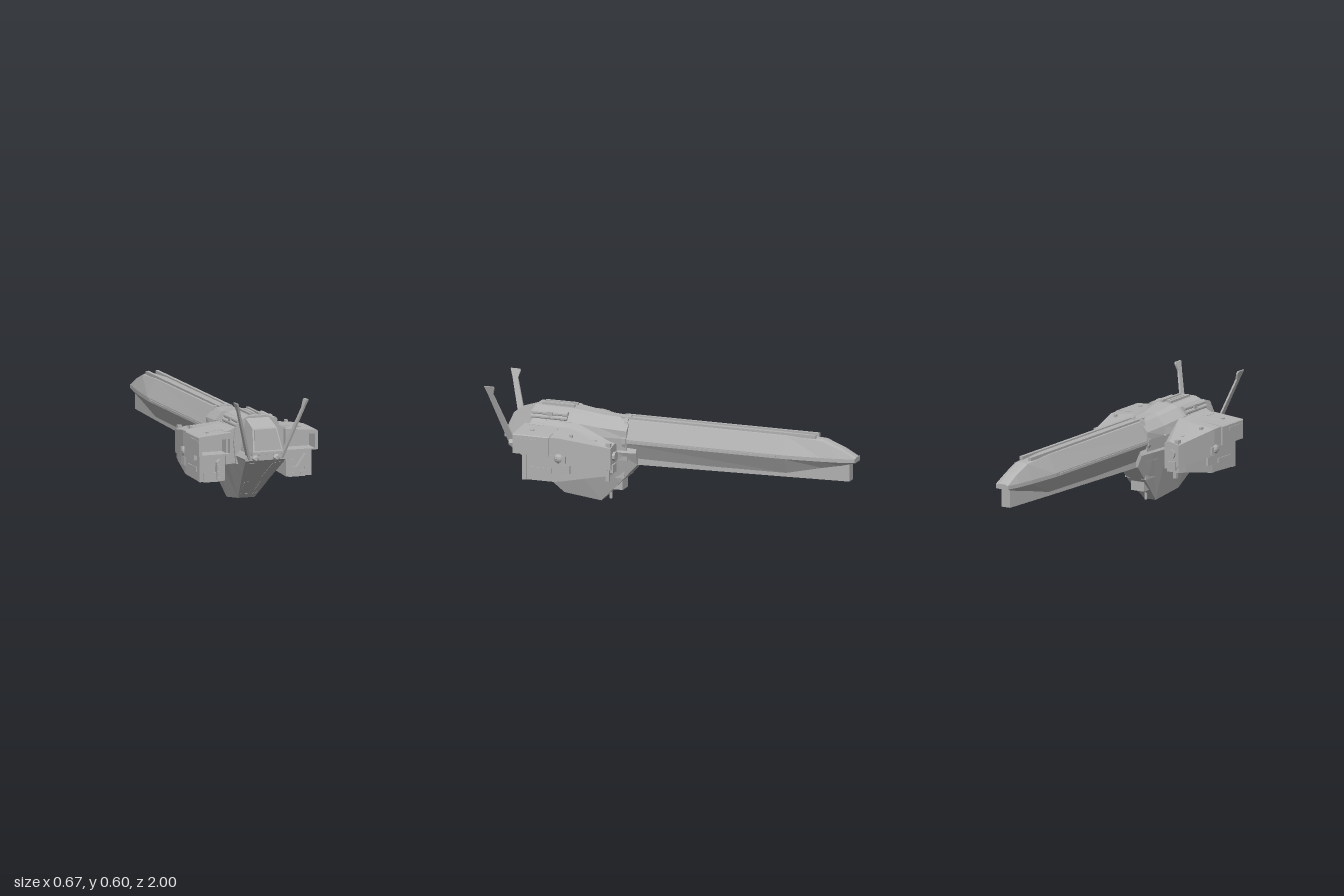
import * as THREE from 'three';

const hull = new THREE.MeshStandardMaterial({ color: 0xb2b2b2 });
hull.name = 'hullGrey';
const glass = new THREE.MeshStandardMaterial({ color: 0xa2a2a2 });
glass.name = 'canopyGrey';

// Loft of closed rings [z, points], z rising, points counter-clockwise from +z
function loft(sections) {
  const p = [];
  const tri = (a, b, c) => p.push(...a, ...b, ...c);
  const rings = sections.map(([z, pts]) => pts.map(([x, y]) => [x, y, z]));
  const n = rings[0].length;
  for (let i = 0; i < rings.length - 1; i++) {
    for (let j = 0; j < n; j++) {
      const k = (j + 1) % n, a = rings[i][j], b = rings[i][k], c = rings[i + 1][k], d = rings[i + 1][j];
      tri(a, b, c);
      tri(a, c, d);
    }
  }
  const cap = (r, front) => {
    const m = [0, 1, 2].map(t => r.reduce((s, q) => s + q[t], 0) / n);
    r.forEach((q, j) => (front ? tri(m, q, r[(j + 1) % n]) : tri(m, r[(j + 1) % n], q)));
  };
  cap(rings[0], false);
  cap(rings[rings.length - 1], true);
  const g = new THREE.BufferGeometry();
  g.setAttribute('position', new THREE.Float32BufferAttribute(p, 3));
  return g;
}

// Full ring from the +x half, listed bottom to top
const sym = half => [...half, ...half.slice().reverse().map(([x, y]) => [-x, y])];
const rect = (x0, x1, y0, y1) => [[x0, y0], [x1, y0], [x1, y1], [x0, y1]];
const box = (x0, x1, y0, y1, z0, z1) =>
  new THREE.BoxGeometry(x1 - x0, y1 - y0, z1 - z0).translate((x0 + x1) / 2, (y0 + y1) / 2, (z0 + z1) / 2);

// Plate with optional hole, facing +z from z0 to z1
function plate(outline, hole, z0, z1) {
  const v = a => a.map(([x, y]) => new THREE.Vector2(x, y));
  const s = new THREE.Shape(v(outline));
  if (hole) s.holes.push(new THREE.Path(v(hole)));
  return new THREE.ExtrudeGeometry(s, { depth: z1 - z0, bevelEnabled: false }).translate(0, 0, z0);
}

function mirrorX(g) {
  const m = g.clone(), a = m.attributes.position;
  for (let i = 0; i < a.count; i += 3) {
    const t = [0, 1, 2].map(k => [-a.getX(i + k), a.getY(i + k), a.getZ(i + k)]);
    [t[0], t[2], t[1]].forEach((q, k) => a.setXYZ(i + k, ...q));
  }
  m.computeVertexNormals();
  return m;
}

export function createModel() {
  const model = new THREE.Group();
  model.name = 'spacecraft';
  const add = (name, geo, mat = hull) => {
    const g = geo.index ? geo.toNonIndexed() : geo;
    g.computeVertexNormals();
    const mesh = new THREE.Mesh(g, mat);
    mesh.name = name;
    model.add(mesh);
    return g;
  };
  const pair = (name, geo, mat = hull) => {
    const g = add(name + 'Left', geo, mat);
    add(name + 'Right', mirrorX(g), mat);
  };

  // Long boom with a tapered tail end
  const boom = (z, w, yb, ym, yt, t) => [z, sym([[t, yb], [w, ym], [w, ym + 0.02], [t, yt - 0.006], [t * 0.5, yt]])];
  add('boom', loft([
    boom(-1, 0.04, 0.335, 0.338, 0.362, 0.035),
    boom(-0.92, 0.052, 0.315, 0.335, 0.405, 0.036),
    boom(-0.82, 0.066, 0.295, 0.335, 0.443, 0.038),
    boom(-0.62, 0.086, 0.25, 0.335, 0.455, 0.042),
    boom(0.3, 0.088, 0.24, 0.335, 0.457, 0.045),
  ]));
  add('boomKeel', loft([
    [-0.965, rect(-0.026, 0.026, 0.232, 0.335)],
    [-0.6, rect(-0.038, 0.038, 0.228, 0.335)],
    [0.3, rect(-0.05, 0.05, 0.215, 0.335)],
  ]));
  pair('boomTopRail', box(0.018, 0.036, 0.445, 0.463, -0.78, 0.3));
  pair('boomSideRail', box(0.08, 0.092, 0.34, 0.35, -0.58, 0.28));
  add('boomCollar', loft([0.255, 0.275].map(z =>
    [z, sym([[0.052, 0.222], [0.093, 0.33], [0.093, 0.36], [0.05, 0.457], [0.025, 0.463]])])));

  // Chin hull: sloping front face and belly
  const chin = (z, yb, wb, wt) => [z, sym([[wb, yb], [wt, 0.285], [wt * 0.85, 0.31]])];
  add('chinHull', loft([
    chin(0.2, 0.22, 0.06, 0.085), chin(0.3, 0.11, 0.055, 0.095), chin(0.41, 0.002, 0.035, 0.108),
    chin(0.61, 0.03, 0.046, 0.118), chin(0.75, 0.155, 0.08, 0.118), chin(0.895, 0.275, 0.112, 0.116),
  ]));

  // Raised panels on the sloping face
  const slopeZ = y => (y < 0.155 ? 0.61 + (y - 0.03) * 1.12 : 0.75 + (y - 0.155) * 1.208);
  const facePanel = pts => {
    const g = plate(pts, null, -0.02, 0.004), a = g.attributes.position;
    for (let i = 0; i < a.count; i++) a.setZ(i, a.getZ(i) + slopeZ(a.getY(i)));
    return g;
  };
  pair('upperFacePanel', facePanel([[0.027, 0.165], [0.058, 0.165], [0.092, 0.258], [0.05, 0.256]]));
  pair('lowerFacePanel', facePanel([[0.024, 0.08], [0.046, 0.078], [0.057, 0.133], [0.033, 0.135]]));
  add('chinSlotBar', facePanel([[-0.045, 0.042], [0.045, 0.042], [0.048, 0.066], [0.02, 0.055], [-0.02, 0.055], [-0.048, 0.066]]));

  // Belly equipment behind the chin
  add('bellyBox', box(-0.04, 0.04, 0.07, 0.2, 0.29, 0.36));
  pair('bellyStep', box(0.035, 0.065, 0.14, 0.23, 0.27, 0.4));
  add('bellyProbe', new THREE.CylinderGeometry(0.008, 0.008, 0.1, 8).translate(0, 0.06, 0.37));

  // Main upper body
  const body = (z, s, yt, w) => [z, sym([[s * 0.9, 0.24], [s, 0.36], [w + 0.04, yt - 0.06], [w, yt - 0.016], [w * 0.6, yt - 0.004]])];
  add('upperBody', loft([
    body(0.25, 0.089, 0.46, 0.048), body(0.4, 0.105, 0.468, 0.055), body(0.55, 0.13, 0.49, 0.08), body(0.77, 0.13, 0.493, 0.08),
  ]));
  pair('roofRidge', box(0.018, 0.032, 0.48, 0.499, 0.56, 0.74));
  add('roofSpine', box(-0.008, 0.008, 0.48, 0.497, 0.58, 0.72));
  [[0.098, 0.462, 0.014], [0.108, 0.442, 0.013]].forEach(([x, y, r]) =>
    pair('roofTube', new THREE.CylinderGeometry(r, r, 0.2, 10).rotateX(Math.PI / 2).translate(x, y, 0.67)));
  pair('tubeClamp', box(0.08, 0.118, 0.432, 0.472, 0.65, 0.68));
  const sideFin = new THREE.ConeGeometry(0.03, 0.05, 6).rotateZ(-Math.PI / 2).translate(0.09, 0.36, 0.39);
  pair('neckThruster', sideFin);

  // Canopy
  add('canopy', loft([
    [0.74, sym([[0.092, 0.3], [0.09, 0.32], [0.064, 0.48]])],
    [0.77, sym([[0.092, 0.3], [0.09, 0.32], [0.064, 0.478]])],
    [0.88, sym([[0.09, 0.3], [0.088, 0.322], [0.067, 0.442]])],
    [0.93, sym([[0.084, 0.31], [0.084, 0.318], [0.083, 0.325]])],
  ]));
  const pane = plate([[-0.074, 0.333], [0.074, 0.333], [0.06, 0.436], [-0.06, 0.436]], null, -0.004, 0.004);
  const pa = pane.attributes.position;
  for (let i = 0; i < pa.count; i++) pa.setZ(i, pa.getZ(i) + 0.93 - (pa.getY(i) - 0.325) * 0.427);
  add('canopyPane', pane, glass);
  pair('chinSensor', new THREE.IcosahedronGeometry(0.021, 0).translate(0.058, 0.288, 0.9));

  // Swept antenna masts with a flag tip
  const mast = new THREE.Shape([[0.9, 0.28], [0.865, 0.29], [0.955, 0.555], [0.945, 0.59], [0.95, 0.6], [1, 0.6], [0.985, 0.56]]
    .map(([z, y]) => new THREE.Vector2(-z, y)));
  const mastGeo = new THREE.ExtrudeGeometry(mast, { depth: 0.011, bevelEnabled: false }).rotateY(Math.PI / 2);
  const ma = mastGeo.attributes.position;
  for (let i = 0; i < ma.count; i++) ma.setX(i, ma.getX(i) + 0.085 + (ma.getY(i) - 0.28) * 0.325);
  pair('mast', mastGeo);

  // Wings
  const wing = (z, xi, xo, yb, yi, ym, yo) => [z, [[xi, yb], [xo, yb + 0.02], [xo, yo], [xi + (xo - xi) * 0.28, ym], [xi, yi]]];
  pair('wing', loft([
    wing(0.27, 0.18, 0.268, 0.215, 0.35, 0.365, 0.35),
    wing(0.3, 0.172, 0.275, 0.21, 0.355, 0.37, 0.355),
    wing(0.53, 0.105, 0.322, 0.235, 0.43, 0.41, 0.393),
    wing(0.69, 0.1, 0.324, 0.24, 0.44, 0.413, 0.396),
  ]));
  pair('wingRoot', loft([0.68, 0.76].map(z => [z, [[0.09, 0.245], [0.17, 0.24], [0.17, 0.412], [0.14, 0.422], [0.09, 0.45]]])));
  pair('intakeFrame', plate([[0.149, 0.294], [0.33, 0.294], [0.33, 0.392], [0.325, 0.397], [0.149, 0.412]],
    rect(0.157, 0.314, 0.301, 0.379), 0.59, 0.79));
  pair('intakeBack', box(0.152, 0.32, 0.298, 0.385, 0.6, 0.7));

  // Lower pods with a recessed triangular vent
  pair('pod', loft([
    [0.28, rect(0.19, 0.262, 0.2, 0.3)], [0.33, rect(0.18, 0.275, 0.195, 0.3)],
    [0.53, rect(0.17, 0.308, 0.16, 0.3)], [0.72, rect(0.17, 0.308, 0.153, 0.3)],
  ]));
  pair('podFace', plate(rect(0.17, 0.31, 0.152, 0.296), [[0.192, 0.268], [0.28, 0.27], [0.23, 0.198], [0.215, 0.198], [0.213, 0.25]], 0.72, 0.745));
  pair('podBase', box(0.19, 0.28, 0.146, 0.16, 0.56, 0.73));
  pair('ventBacking', box(0.193, 0.216, 0.16, 0.245, 0.74, 0.748));
  for (let i = 0; i < 7; i++) {
    const y = 0.167 + i * 0.0115;
    pair('ventSlat', box(0.195, 0.214, y - 0.0035, y + 0.0035, 0.745, 0.752));
  }
  pair('podFacePanel', plate([[0.25, 0.161], [0.287, 0.161], [0.287, 0.2], [0.273, 0.2], [0.273, 0.184], [0.25, 0.175]], null, 0.745, 0.748));

  // Side details, rear pod fittings and wing-top hatches
  pair('sideBall', new THREE.SphereGeometry(0.032, 12, 8).translate(0.303, 0.285, 0.54));
  pair('sideMount', box(0.29, 0.325, 0.262, 0.3, 0.5, 0.7));
  pair('sideBracket', box(0.295, 0.313, 0.205, 0.25, 0.48, 0.53));
  pair('sidePlate', box(0.3, 0.312, 0.2, 0.225, 0.58, 0.7));
  pair('rearNozzle', new THREE.CylinderGeometry(0.022, 0.026, 0.03, 10).rotateX(Math.PI / 2).translate(0.225, 0.3, 0.27));
  pair('rearBlock', box(0.2, 0.25, 0.215, 0.26, 0.262, 0.3));
  pair('rearLeg', box(0.22, 0.238, 0.165, 0.22, 0.29, 0.31));
  pair('rearCap', box(0.24, 0.262, 0.345, 0.374, 0.275, 0.3));
  [[0.225, 0.37, 0.37], [0.265, 0.49, 0.398], [0.255, 0.71, 0.403]].forEach(([x, z, y]) =>
    pair('wingHatch', box(x - 0.007, x + 0.007, y - 0.01, y + 0.006, z - 0.009, z + 0.009)));
  pair('wingTipBumper', box(0.318, 0.333, 0.362, 0.378, 0.66, 0.78));

  return model;
}
